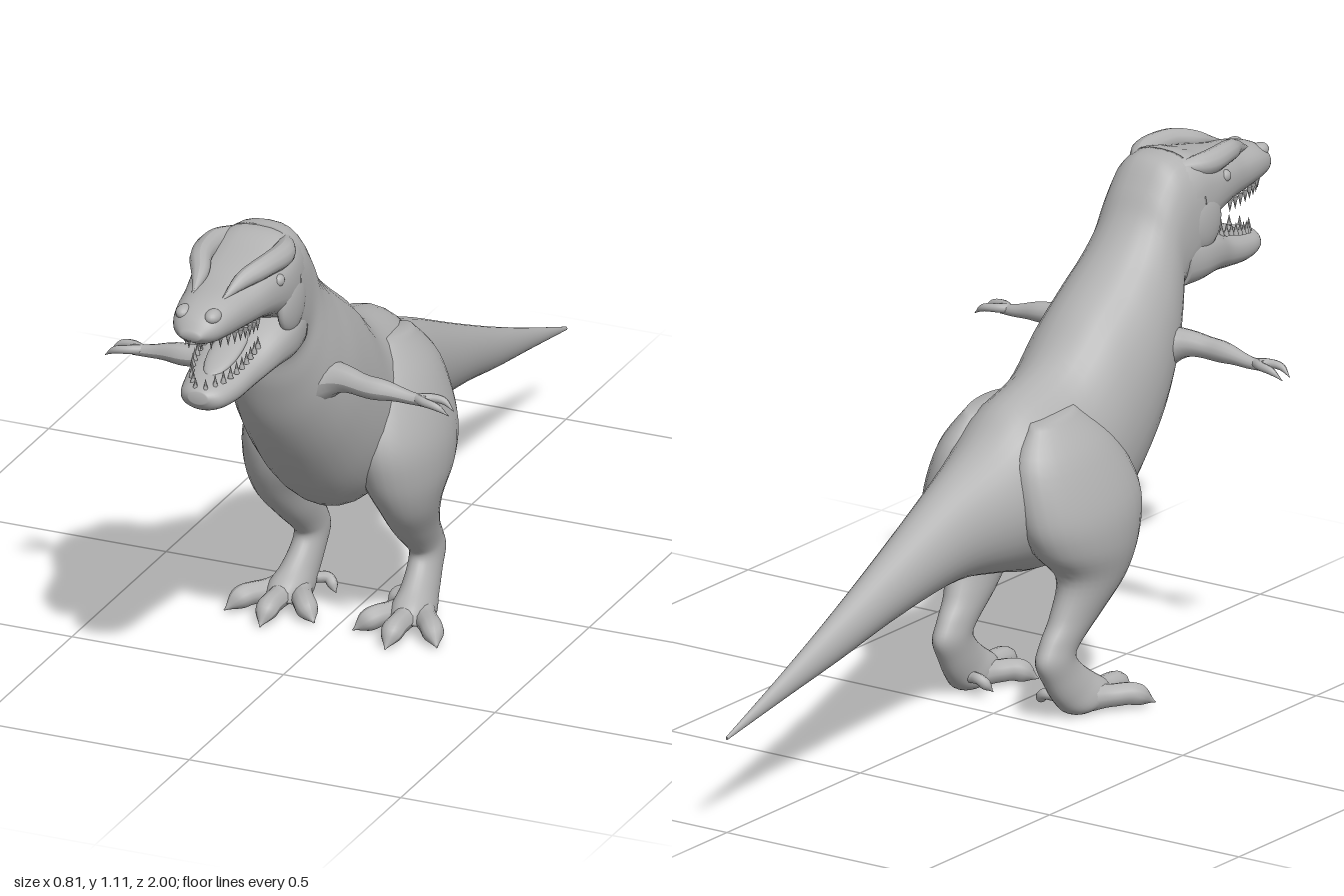
import * as THREE from 'three';

const skin = new THREE.MeshStandardMaterial({ color: 0xb2b2b2 });
skin.name = 'grey skin';

const V = (x, y, z) => new THREE.Vector3(x, y, z);

// Smooth interpolation of rows of numbers, t in 0..1
function sampleRows(rows, t) {
  const f = t * (rows.length - 1);
  const i = Math.min(Math.floor(f), rows.length - 2);
  const u = f - i;
  const row = (k) => rows[Math.max(0, Math.min(rows.length - 1, k))];
  return rows[0].map((_, c) => {
    const a = row(i - 1)[c], b = row(i)[c], d = row(i + 1)[c], e = row(i + 2)[c];
    const m0 = (d - a) / 2, m1 = (e - b) / 2, u2 = u * u, u3 = u2 * u;
    return (2 * u3 - 3 * u2 + 1) * b + (u3 - 2 * u2 + u) * m0 + (3 * u2 - 2 * u3) * d + (u3 - u2) * m1;
  });
}

// Closed skin through cross-sections: [zA, yA, zB, yB, half width, roundness, x]
function loft(rows, sides = 32, steps = 5, s = 1) {
  const n = (rows.length - 1) * steps;
  const pos = [], index = [];
  for (let i = 0; i <= n; i++) {
    const [za, ya, zb, yb, w, k, x] = sampleRows(rows, i / n);
    for (let j = 0; j < sides; j++) {
      const a = (j / sides) * Math.PI * 2;
      const c = Math.cos(a), d = Math.sin(a);
      const p = Math.sign(c) * Math.abs(c) ** (2 / k), q = Math.sign(d) * Math.abs(d) ** (2 / k);
      pos.push(x * s + q * w, (ya + yb) / 2 + p * (ya - yb) / 2, (za + zb) / 2 + p * (za - zb) / 2);
    }
  }
  for (let i = 0; i < n; i++) for (let j = 0; j < sides; j++) {
    const a = i * sides + j, b = i * sides + (j + 1) % sides;
    index.push(a, a + sides, b + sides, a, b + sides, b);
  }
  // end caps
  for (const [r, flip] of [[rows[0], false], [rows[rows.length - 1], true]]) {
    const centre = pos.length / 3, base = flip ? n * sides : 0;
    pos.push(r[6] * s, (r[1] + r[3]) / 2, (r[0] + r[2]) / 2);
    for (let j = 0; j < sides; j++) {
      const a = base + j, b = base + (j + 1) % sides;
      if (flip) index.push(centre, b, a); else index.push(centre, a, b);
    }
  }
  const g = new THREE.BufferGeometry();
  g.setAttribute('position', new THREE.Float32BufferAttribute(pos, 3));
  g.setIndex(index);
  g.computeVertexNormals();
  return g;
}

// Tube along points with a radius at each step; flat squashes it in height
function taper(points, radii, flat = 1) {
  const seg = 24, sides = 12;
  const curve = new THREE.CatmullRomCurve3(points);
  const g = new THREE.TubeGeometry(curve, seg, 1, sides, false);
  const p = g.attributes.position, v = V(0, 0, 0);
  for (let i = 0; i <= seg; i++) {
    const c = curve.getPointAt(i / seg);
    const r = sampleRows(radii.map((q) => [q]), i / seg)[0];
    for (let j = 0; j <= sides; j++) {
      const k = i * (sides + 1) + j;
      v.fromBufferAttribute(p, k).sub(c).multiplyScalar(r);
      p.setXYZ(k, c.x + v.x, c.y + v.y * flat, c.z + v.z);
    }
  }
  g.computeVertexNormals();
  return g;
}

export function createModel() {
  const model = new THREE.Group();
  model.name = 'dinosaur';
  const add = (name, geometry, parent = model) => {
    const m = new THREE.Mesh(geometry, skin);
    m.name = name;
    parent.add(m);
    return m;
  };
  const ball = (name, x, y, z, rx, ry, rz, parent = model) => {
    const m = add(name, new THREE.SphereGeometry(1, 20, 14), parent);
    m.position.set(x, y, z);
    m.scale.set(rx, ry, rz);
    return m;
  };

  // Tail, torso and neck
  add('body', loft([
    [-1, 0.222, -1, 0.214, 0.003, 2, 0],
    [-0.8, 0.30, -0.8, 0.25, 0.018, 2, 0],
    [-0.6, 0.383, -0.6, 0.285, 0.035, 2, 0],
    [-0.4, 0.472, -0.4, 0.325, 0.055, 2, 0],
    [-0.2, 0.565, -0.18, 0.352, 0.082, 2, 0],
    [-0.05, 0.632, -0.02, 0.33, 0.12, 2, 0],
    [0.04, 0.695, 0.1, 0.305, 0.14, 2, 0],
    [0.19, 0.745, 0.25, 0.305, 0.148, 2, 0],
    [0.3, 0.835, 0.36, 0.365, 0.152, 2.1, 0],
    [0.39, 0.9, 0.47, 0.485, 0.148, 2.1, 0],
    [0.45, 0.95, 0.55, 0.605, 0.132, 2.1, 0],
    [0.495, 1.0, 0.588, 0.715, 0.115, 2.2, 0],
    [0.53, 1.055, 0.6, 0.79, 0.106, 2.4, 0],
    [0.575, 1.108, 0.64, 0.815, 0.106, 2.5, 0],
    [0.63, 1.118, 0.675, 0.85, 0.108, 2.6, 0],
  ]));

  // Skull and snout
  add('upperJaw', loft([
    [0.58, 1.105, 0.6, 0.84, 0.1, 2.6, 0],
    [0.64, 1.117, 0.66, 0.9, 0.107, 2.6, 0],
    [0.71, 1.1, 0.71, 0.935, 0.106, 2.5, 0],
    [0.78, 1.085, 0.78, 0.955, 0.096, 2.4, 0],
    [0.84, 1.072, 0.85, 0.96, 0.082, 2.3, 0],
    [0.92, 1.06, 0.92, 0.965, 0.068, 2.2, 0],
    [0.97, 1.04, 0.965, 0.972, 0.052, 2.1, 0],
    [0.998, 1.008, 0.996, 0.99, 0.022, 2, 0],
  ]));

  // Lower jaw, open
  add('lowerJaw', loft([
    [0.59, 0.96, 0.6, 0.81, 0.1, 2.6, 0],
    [0.66, 0.95, 0.66, 0.812, 0.108, 2.6, 0],
    [0.72, 0.93, 0.73, 0.815, 0.1, 2.5, 0],
    [0.79, 0.895, 0.81, 0.803, 0.078, 2.4, 0],
    [0.87, 0.873, 0.88, 0.797, 0.066, 2.3, 0],
    [0.93, 0.862, 0.935, 0.803, 0.05, 2.1, 0],
    [0.955, 0.852, 0.957, 0.825, 0.022, 2, 0],
  ]));
  ball('tongue', 0, 0.893, 0.8, 0.036, 0.014, 0.1).rotation.x = 0.3;

  // Teeth along both jaw rims
  const teeth = new THREE.Group();
  teeth.name = 'teeth';
  model.add(teeth);
  const tooth = new THREE.ConeGeometry(0.0065, 0.03, 6);
  for (const s of [-1, 1]) for (let i = 0; i < 10; i++) {
    const t = i / 9;
    const upper = add('upperTooth', tooth, teeth);
    upper.position.set(s * (0.068 - 0.054 * t ** 3), 0.957 + 0.016 * t, 0.79 + 0.18 * t);
    upper.rotation.x = Math.PI;
    add('lowerTooth', tooth, teeth)
      .position.set(s * (0.06 - 0.048 * t ** 3), 0.908 - 0.042 * t, 0.77 + 0.17 * t);
  }

  for (const s of [-1, 1]) {
    const side = new THREE.Group();
    side.name = s > 0 ? 'leftSide' : 'rightSide';
    model.add(side);
    const path = (...pts) => pts.map(([x, y, z]) => V(x * s, y, z));

    // Brow ridge, eye, nostril bump, cheek
    add('browRidge', taper(path([0.05, 1.09, 0.6], [0.08, 1.085, 0.68], [0.074, 1.087, 0.77], [0.05, 1.075, 0.83], [0.035, 1.055, 0.9]),
      [0.01, 0.026, 0.025, 0.02, 0.004]), side);
    ball('eye', s * 0.094, 1.045, 0.735, 0.012, 0.014, 0.016, side);
    ball('nostril', s * 0.034, 1.035, 0.95, 0.018, 0.016, 0.024, side);
    ball('cheek', s * 0.09, 0.965, 0.66, 0.022, 0.07, 0.06, side);

    // Arm with two fingers
    add('arm', taper(path([0.08, 0.72, 0.5], [0.15, 0.735, 0.515], [0.21, 0.73, 0.525], [0.26, 0.727, 0.522], [0.31, 0.72, 0.52], [0.345, 0.718, 0.522]),
      [0.06, 0.036, 0.026, 0.024, 0.016, 0.012]), side);
    for (const d of [-1, 1]) {
      add('finger', taper(path([0.325, 0.721, 0.521], [0.35, 0.722, 0.521 + d * 0.014], [0.38, 0.718, 0.521 + d * 0.019], [0.406, 0.7, 0.521 + d * 0.014]),
        [0.011, 0.01, 0.008, 0.001]), side);
    }

    // Thigh, shin and ankle: front edge, back edge, half width
    add('leg', loft([
      [0.17, 0.68, 0.03, 0.665, 0.03, 2, 0.085],
      [0.27, 0.6, -0.035, 0.585, 0.075, 2, 0.1],
      [0.325, 0.49, -0.045, 0.465, 0.094, 2, 0.126],
      [0.31, 0.39, -0.01, 0.385, 0.089, 2, 0.138],
      [0.258, 0.3, 0.055, 0.315, 0.062, 2, 0.148],
      [0.185, 0.225, 0.035, 0.235, 0.045, 2, 0.14],
      [0.118, 0.168, 0.0, 0.185, 0.036, 2, 0.136],
      [0.1, 0.145, -0.02, 0.14, 0.035, 2, 0.136],
      [0.115, 0.12, 0.005, 0.09, 0.035, 2, 0.138],
      [0.15, 0.092, 0.04, 0.04, 0.039, 2, 0.142],
      [0.19, 0.065, 0.085, 0.006, 0.046, 2.2, 0.146],
      [0.215, 0.035, 0.15, 0.006, 0.034, 2, 0.148],
    ], 28, 5, s), side);

    // Toes: start, end with a claw dipping to the ground
    const toes = [
      ['middleToe', [0.147, 0.04, 0.15], [0.148, 0.035, 0.25], [0.148, 0.006, 0.295]],
      ['outerToe', [0.16, 0.036, 0.13], [0.222, 0.034, 0.21], [0.252, 0.01, 0.25]],
      ['innerToe', [0.13, 0.036, 0.13], [0.082, 0.034, 0.2], [0.045, 0.01, 0.235]],
      ['backToe', [0.125, 0.045, 0.08], [0.085, 0.045, 0.07], [0.06, 0.018, 0.085]],
    ];
    toes.forEach(([name, a, b, c], i) => {
      const mid = a.map((q, k) => (q + b[k]) / 2);
      const r = i === 3 ? 0.5 : 1;
      add(name, taper(path(a, mid, b, c), [0.032, 0.026, 0.025, 0.023, 0.001].map((q) => q * r)), side);
    });
  }
  return model;
}
